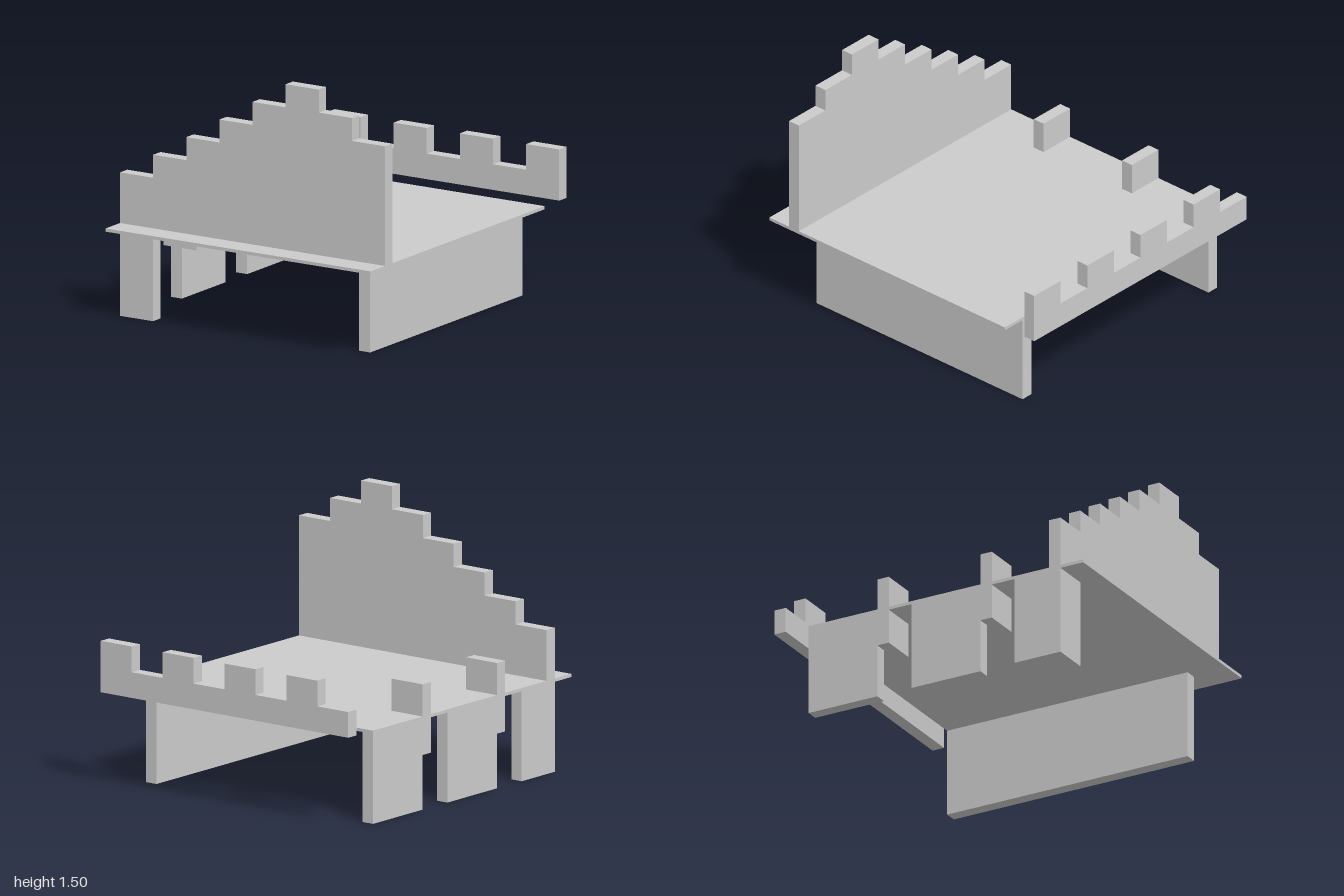
import * as THREE from 'three';

const U = 2 / 27;          // wall thickness, the module everything is built on
const LEG = 7 * U;         // height of the supports
const DECK = LEG + U / 4;  // top of the floor slab
const HALF = 12 * U;       // half width of the floor

const material = new THREE.MeshStandardMaterial({ color: 0xcccccc, flatShading: true });

export function createModel() {
  const model = new THREE.Group();

  // box given by its minimum and maximum on each axis
  const box = (name, x0, x1, y0, y1, z0, z1) => {
    const mesh = new THREE.Mesh(new THREE.BoxGeometry(x1 - x0, y1 - y0, z1 - z0), material);
    mesh.position.set((x0 + x1) / 2, (y0 + y1) / 2, (z0 + z1) / 2);
    mesh.name = name;
    model.add(mesh);
  };

  // wall across the floor whose top steps through equal columns
  const steppedWall = (name, tops, z) => {
    const shape = new THREE.Shape();
    const step = (2 * HALF) / tops.length;
    shape.moveTo(HALF, DECK);
    for (let i = tops.length - 1; i >= 0; i--) {
      shape.lineTo(-HALF + (i + 1) * step, tops[i]);
      shape.lineTo(-HALF + i * step, tops[i]);
    }
    shape.lineTo(-HALF, DECK);
    const geometry = new THREE.ExtrudeGeometry(shape, { depth: U, bevelEnabled: false });
    const mesh = new THREE.Mesh(geometry, material);
    mesh.position.z = z;
    mesh.name = name;
    model.add(mesh);
  };

  // floor
  box('floorSlab', -HALF, HALF, LEG, DECK, -10.5 * U, 1);

  // front gable and detached rear parapet
  const gable = [0, 1, 2, 3, 4, 5, 4, 3].map((n) => 0.83 + n * 0.133);
  steppedWall('frontSteppedWall', gable, 10.5 * U);
  const parapet = [2, 4, 2, 4, 2, 4, 2, 4].map((n) => DECK + n * U);
  steppedWall('rearParapet', parapet, -1);

  // long supporting wall on the left
  box('leftSupportWall', 9 * U, 10 * U, 0, LEG, -10.5 * U, 10.5 * U);

  // right supports: two panels and an L-shaped corner leg
  const inner = -HALF + U;
  box('rearRightPanel', -HALF, inner, 0, LEG, -10.5 * U, -4.5 * U);
  box('middleRightPanel', -HALF, inner, 0, LEG, -1.5 * U, 4.5 * U);
  box('cornerLegSide', -HALF, inner, 0, LEG, 7.5 * U, 10.5 * U);
  box('cornerLegFront', -HALF, -9 * U, 0, LEG, 10.5 * U, 11.5 * U);

  // short fins passing through the floor at the ends of the panels
  for (const z of [-4.5 * U, 4.5 * U]) {
    box('crossFin', -HALF, -9 * U, DECK - 3 * U, DECK + 2.5 * U, z, z + U);
  }

  return model;
}
